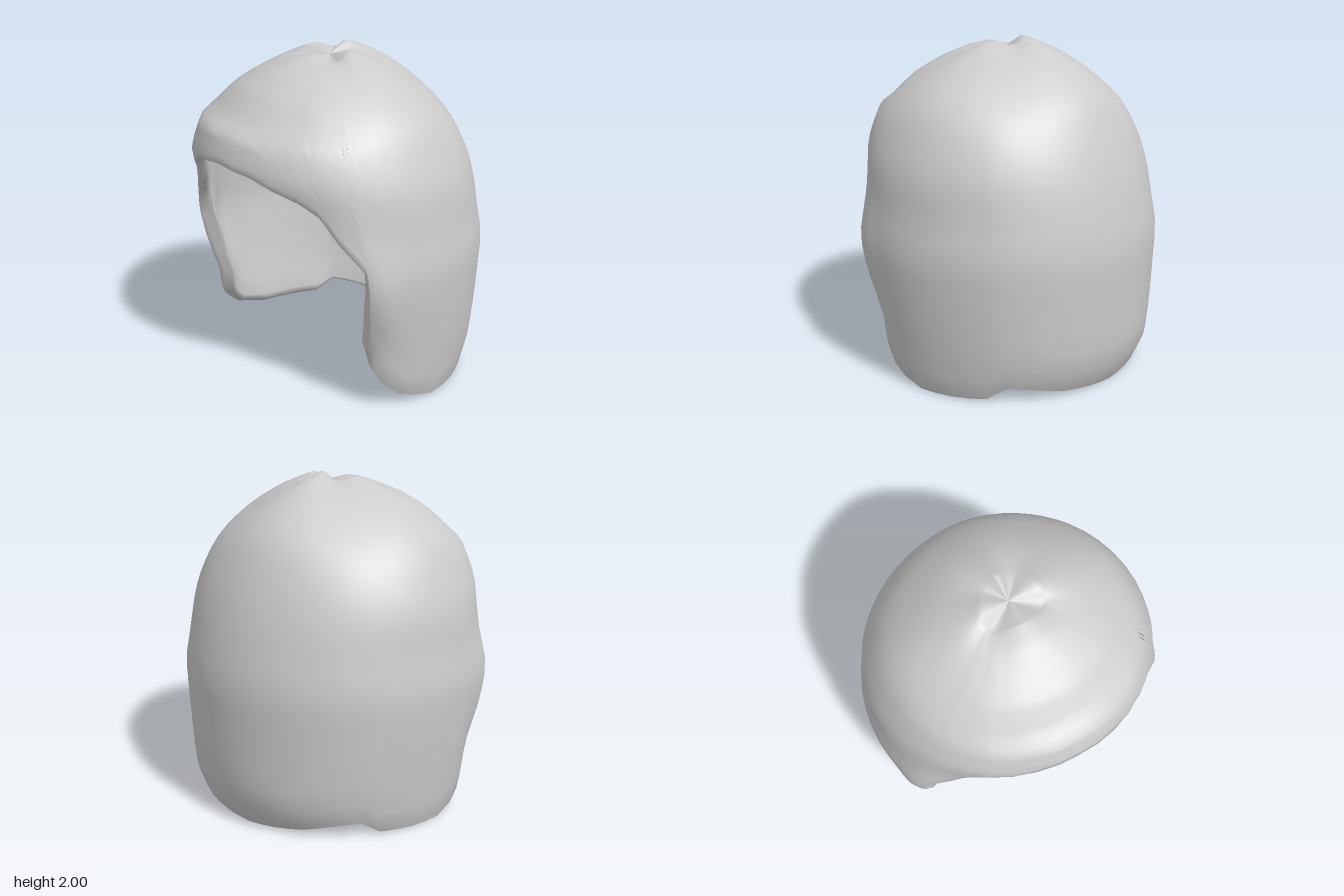
import * as THREE from 'three';

// piecewise linear lookup in rows of [key, value, ...]
function sample(table, key, col = 1) {
  if (key <= table[0][0]) return table[0][col];
  for (let i = 1; i < table.length; i++) {
    const a = table[i - 1], b = table[i];
    if (key <= b[0]) return a[col] + (b[col] - a[col]) * (key - a[0]) / (b[0] - a[0]);
  }
  return table[table.length - 1][col];
}

// the same lookup with its corners rounded off
function smoothSample(table, y) {
  const h = Math.max(0, Math.min(0.07, (2 - y) * 0.3));
  return (sample(table, y - h) + 2 * sample(table, y) + sample(table, y + h)) / 4;
}

// bell curve around a centre
const bell = (v, centre, spread) => Math.exp(-(((v - centre) / spread) ** 2));

// horizontal section by height: half width, front reach, back reach
const WIDTH = [[0, 0.84], [0.2, 0.87], [0.5, 0.907], [0.87, 0.935], [1.05, 0.895], [1.17, 0.892], [1.33, 0.867],
  [1.63, 0.735], [1.76, 0.595], [1.85, 0.45], [1.92, 0.31], [1.96, 0.2], [2, 0.09]];
const FRONT = [[0, 0.64], [0.2, 0.66], [0.4, 0.6], [0.9, 0.79], [1.2, 0.82], [1.38, 0.88], [1.46, 0.87],
  [1.58, 0.83], [1.64, 0.73], [1.77, 0.6], [1.86, 0.46], [1.92, 0.32], [1.95, 0.21]];
const BACK = [[0, 0.75], [0.17, 0.85], [0.87, 0.87], [1.18, 0.805], [1.4, 0.735], [1.68, 0.605], [1.8, 0.465],
  [1.9, 0.32], [1.97, 0.17], [2, 0.06]];

// lower edge, front to back: [angle at crown, angle at edge, edge height, rim thickness, rim lift]
const EDGE = [[0, 0, 1.43, 0.07, 0.06], [17, 17, 1.4, 0.07, 0.06], [35, 35, 1.29, 0.07, 0.06],
  [41, 41, 1.22, 0.07, 0.06], [46, 46, 1.08, 0.07, 0.05], [54, 54, 0.91, 0.07, 0.02], [57, 51, 0.65, 0.13, 0],
  [61, 50, 0.4, 0.13, 0], [66, 56, 0.27, 0.12, 0.02], [71, 62, 0.19, 0.11, 0.04], [80, 73, 0.09, 0.1, 0.06],
  [95, 95, 0.01, 0.09, 0.07], [110, 110, 0.01, 0.08, 0.07], [124, 124, 0.02, 0.07, 0.06],
  [131, 131, 0.1, 0.06, 0.03], [142, 142, 0.08, 0.06, 0.03], [155, 155, 0.04, 0.06, 0.04],
  [168, 168, 0.02, 0.06, 0.05], [180, 180, 0.005, 0.06, 0.05]];

const CENTRE_Z = 0.06;
const ROWS = 24;
const LINING = 0.06;
const RAD = Math.PI / 180;

// point on the shell for an angle and height, optionally moved inward
function shellPoint(deg, y, inset = 0) {
  const s = Math.sin(deg * RAD), c = Math.cos(deg * RAD);
  const depth = c >= 0 ? sample(FRONT, y) - CENTRE_Z : smoothSample(BACK, y) + CENTRE_Z;
  // slimmer back corners below the crown, fuller cheeks beside the opening
  const pinch = c < 0 ? 1 - 0.07 * bell(y, 1.78, 0.18) * (2 * s * c) ** 2 : 1;
  const cheek = 0.09 * bell(deg, 53, 16) * bell(y, 0.72, 0.4);
  const scale = pinch * (1 - inset / 0.85);
  return [smoothSample(WIDTH, y) * s * scale + cheek, y, CENTRE_Z + depth * c * scale];
}

// one strand line: down the outside, round the rim and up the lining
function column(crownDeg, side) {
  const [edgeDeg, edgeY, thick, lift] = [1, 2, 3, 4].map((col) => sample(EDGE, crownDeg, col));
  const topY = 1.95 + 0.025 * (1 - Math.cos(crownDeg * RAD));
  // angle drifts towards the edge angle below the cheek corner
  const angleAt = (y) => {
    const bend = edgeY < 1 ? Math.min(1, Math.max(0, (1 - y) / (1 - edgeY - lift))) : 0;
    return crownDeg + (edgeDeg - crownDeg) * bend;
  };
  const pleat = (u) => 0.045 * (1 - Math.cos(4 * crownDeg * RAD)) / 2 * Math.exp(-6 * u);

  const pts = [[0, 1.93, CENTRE_Z]];
  for (let i = 0; i <= ROWS; i++) {
    const u = i / ROWS;
    const y = topY - (topY - edgeY) * Math.pow(u, 1.6);
    const p = shellPoint(angleAt(y), y);
    p[1] -= pleat(u);
    pts.push(p);
  }
  for (const [part, rise] of [[0.3, 0], [0.75, 0.4]]) {
    pts.push(shellPoint(edgeDeg, edgeY + lift * rise, thick * part));
  }
  for (let i = ROWS; i >= 0; i--) {
    const u = i / ROWS;
    const y = topY - (topY - edgeY - lift) * Math.pow(u, 1.6);
    const p = shellPoint(angleAt(y), y, LINING + (thick - LINING) * u ** 3);
    p[1] -= pleat(u) + LINING * (1 - u);
    pts.push(p);
  }
  pts.push([0, 1.93 - LINING, CENTRE_Z]);
  return pts.map(([x, y, z]) => [x * side, y, z]);
}

function shellGeometry() {
  // crown angles: every edge point and the midpoints between them
  const half = [];
  EDGE.forEach((e, i) => {
    half.push(e[0]);
    if (i < EDGE.length - 1) half.push((e[0] + EDGE[i + 1][0]) / 2);
  });
  const columns = half.map((a) => column(a, 1));
  for (const a of half.slice(1, -1).reverse()) columns.push(column(a, -1));
  // the centre lines stay on the mirror plane
  for (const j of [0, half.length - 1]) columns[j].forEach((p) => { p[0] = 0; });

  const n = columns[0].length, index = [];
  columns.forEach((_, j) => {
    const k = (j + 1) % columns.length;
    for (let i = 0; i < n - 1; i++) {
      const a = j * n + i, b = k * n + i;
      if (i < n - 2) index.push(a, a + 1, b + 1);
      else index.push(a, a + 1, b);
      if (i > 0 && i < n - 2) index.push(a, b + 1, b);
    }
  });
  const geo = new THREE.BufferGeometry();
  geo.setAttribute('position', new THREE.Float32BufferAttribute(columns.flat(2), 3));
  geo.setIndex(index);
  geo.computeVertexNormals();
  return geo;
}

export function createModel() {
  const grey = new THREE.MeshStandardMaterial({ color: 0xcccccc, side: THREE.DoubleSide });
  grey.name = 'light grey';

  const group = new THREE.Group();
  group.name = 'hair';
  const shell = new THREE.Mesh(shellGeometry(), grey);
  shell.name = 'hairShell';
  group.add(shell);
  return group;
}
